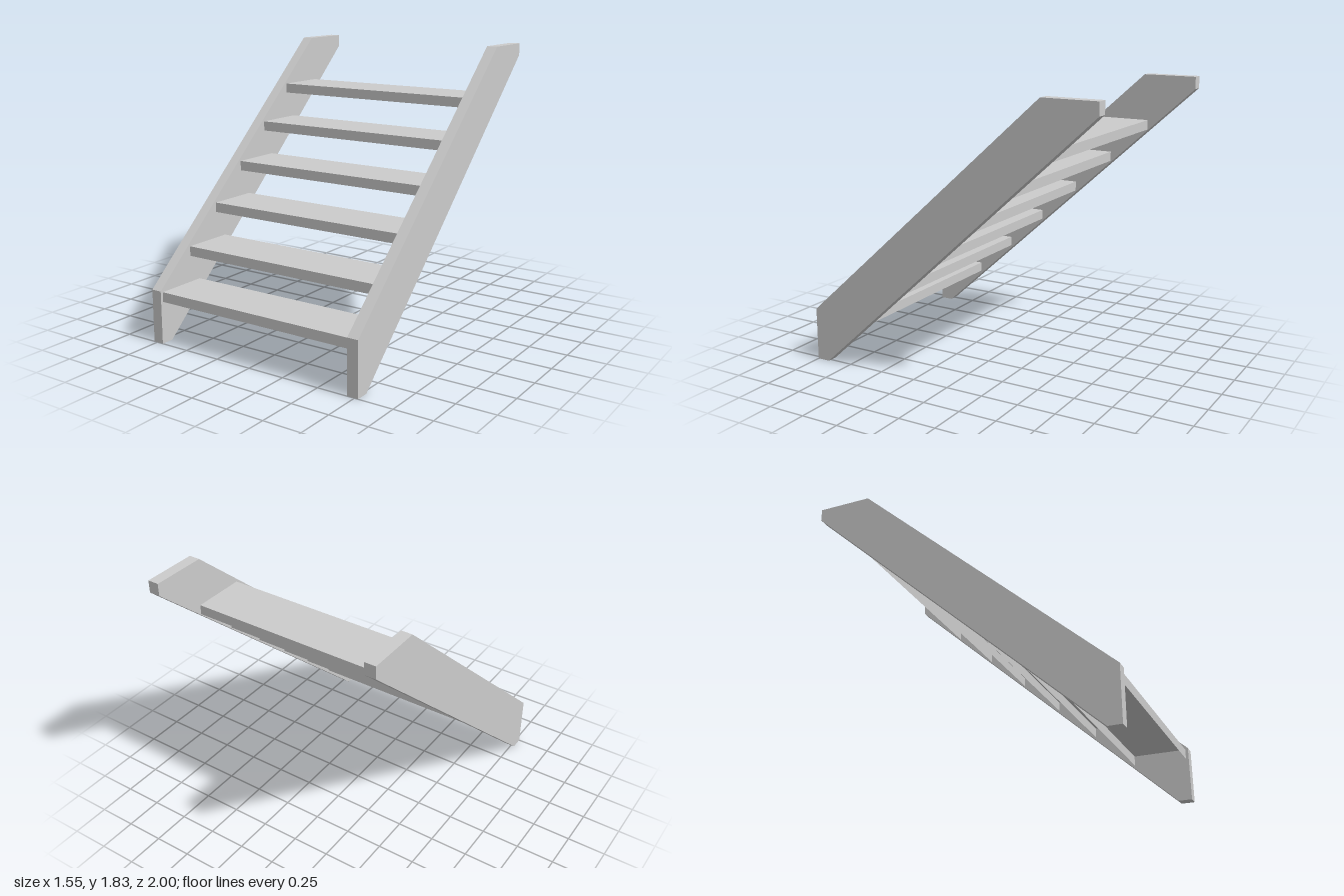
import * as THREE from 'three';

export function createModel() {
  const stairs = new THREE.Group();
  stairs.name = 'openStaircase';

  const grey = new THREE.MeshStandardMaterial({ color: 0xcccccc, side: THREE.DoubleSide });
  grey.name = 'lightGrey';

  // Sloping side boards: outline as (z, y) pairs, cut level at floor and top
  const outline = [[1, 0], [1, 0.347], [-0.647, 1.83], [-1, 1.83], [-1, 1.75], [0.914, 0]];
  const shape = new THREE.Shape(outline.map(([z, y]) => new THREE.Vector2(-z, y)));
  const boardWidth = 0.072;
  const boardGeometry = new THREE.ExtrudeGeometry(shape, { depth: boardWidth, bevelEnabled: false });
  boardGeometry.translate(0, 0, -boardWidth / 2);
  boardGeometry.rotateY(Math.PI / 2);
  for (const side of [-1, 1]) {
    const board = new THREE.Mesh(boardGeometry, grey);
    board.name = side > 0 ? 'leftStringer' : 'rightStringer';
    board.position.x = side * 0.738;
    stairs.add(board);
  }

  // Treads are thin channels: only the top, front and back faces of a box,
  // open underneath and at the ends where they meet the side boards
  const count = 6, height = 0.064, depth = 0.345;
  const treadGeometry = new THREE.BoxGeometry(1.404, height, depth);
  const faces = Array.from(treadGeometry.index.array);
  treadGeometry.setIndex([...faces.slice(12, 18), ...faces.slice(24, 36)]);
  treadGeometry.clearGroups();

  // Six evenly rising treads, with no risers between
  for (let i = 0; i < count; i++) {
    const tread = new THREE.Mesh(treadGeometry, grey);
    tread.name = `tread${i + 1}`;
    tread.position.set(0, 0.338 + i * 0.2376 - height / 2, 0.982 - i * 0.263 - depth / 2);
    stairs.add(tread);
  }

  return stairs;
}
